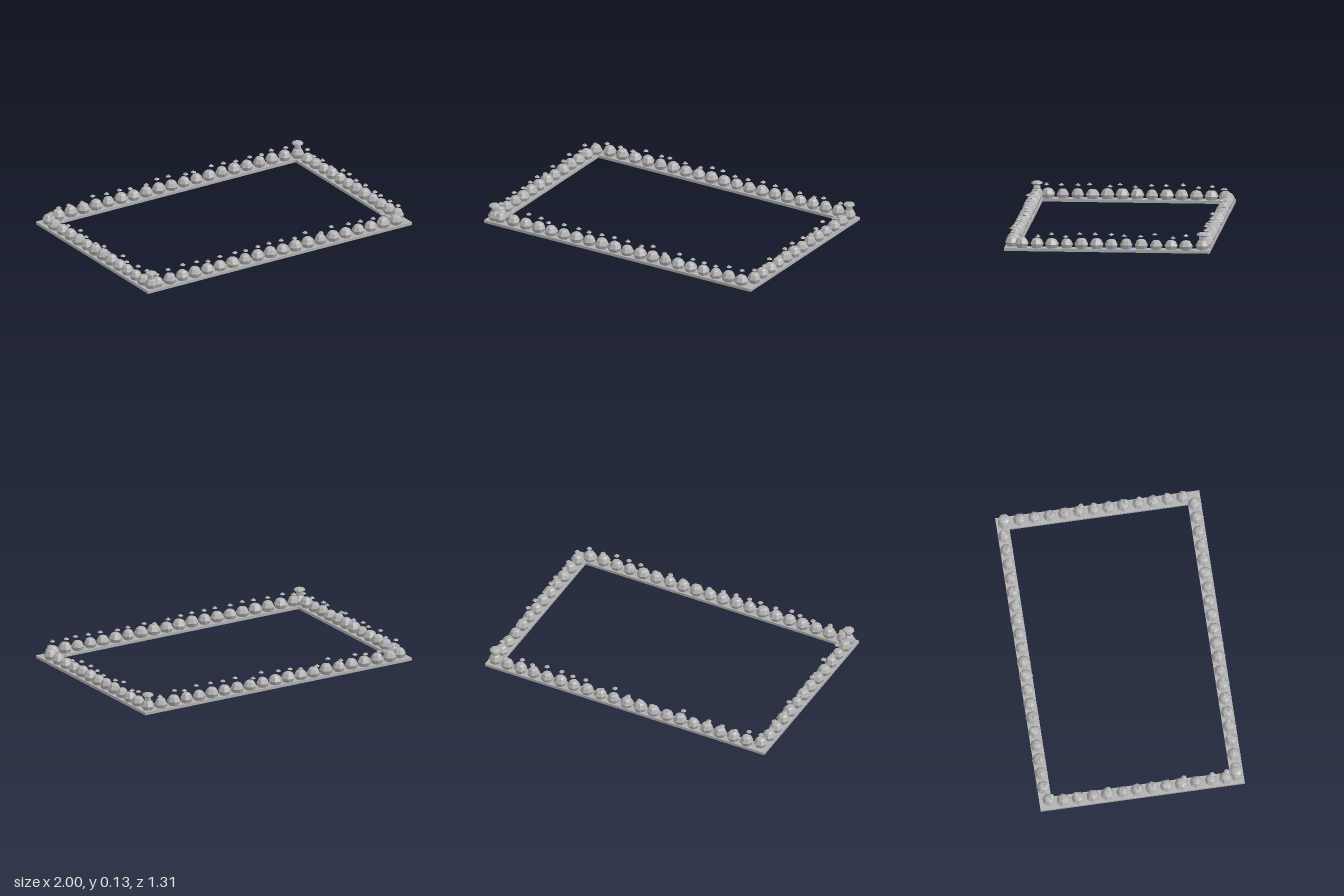
import * as THREE from 'three';

const stone = new THREE.MeshStandardMaterial({ color: 0xb0b0b0, flatShading: true });
stone.name = 'grey';

// Small repeatable random source
let seed = 7;
const rand = (a, b) => {
  seed = (seed * 16807) % 2147483647;
  return a + (b - a) * (seed / 2147483647);
};

const lathe = (pts, sides) =>
  new THREE.LatheGeometry(pts.map(([r, y]) => new THREE.Vector2(r, y)), sides);

const bushGeo = lathe([[0, 0], [0.033, 0], [0.0435, 0.026], [0.03, 0.053], [0.02, 0.061], [0, 0.063]], 7);
const flowerGeo = lathe([[0, -0.004], [0.007, -0.004], [0.018, 0.001], [0.015, 0.005], [0.007, 0.007], [0.006, 0.012], [0, 0.014]], 6);
const stemGeo = lathe([[0, 0], [0.024, 0], [0.021, 0.085], [0, 0.085]], 7);
const capGeo = lathe([[0, 0], [0.022, 0], [0.038, 0.009], [0.034, 0.018], [0.018, 0.025], [0, 0.026]], 8);

function add(parent, geo, name, x, y, z) {
  const m = new THREE.Mesh(geo, stone);
  m.name = name;
  m.position.set(x, y, z);
  m.rotation.y = rand(0, Math.PI * 2);
  parent.add(m);
  return m;
}

// One bush with a small blossom hovering above it
function addBush(parent, x, z) {
  const s = rand(0.93, 1.07);
  add(parent, bushGeo, 'bush', x, 0.018, z).scale.set(s, rand(0.92, 1.04), s);
  const y = rand(0, 1) < 0.25 ? rand(0.083, 0.093) : rand(0.097, 0.107);
  add(parent, flowerGeo, 'blossom', x + rand(-0.02, 0.02), y, z + rand(-0.02, 0.02));
}

// Evenly spaced bushes between two points
function addRow(root, name, count, x0, z0, x1, z1) {
  const row = new THREE.Group();
  row.name = name;
  for (let i = 0; i < count; i++) {
    const t = i / (count - 1);
    addBush(row, x0 + (x1 - x0) * t, z0 + (z1 - z0) * t);
  }
  root.add(row);
}

export function createModel() {
  const root = new THREE.Group();
  root.name = 'hedgeBorder';

  // Flat rectangular kerb with an open middle
  const rect = (P, x0, x1, y0, y1) =>
    new P([[x0, y0], [x1, y0], [x1, y1], [x0, y1]].map(([x, y]) => new THREE.Vector2(x, y)));
  const shape = rect(THREE.Shape, -0.997, 0.99, -0.65, 0.652);
  shape.holes.push(rect(THREE.Path, -0.912, 0.906, -0.566, 0.573));
  const kerbGeo = new THREE.ExtrudeGeometry(shape, { depth: 0.018, bevelEnabled: false });
  kerbGeo.rotateX(-Math.PI / 2);
  const kerb = new THREE.Mesh(kerbGeo, stone);
  kerb.name = 'kerb';
  root.add(kerb);

  // Hedge rows
  addRow(root, 'frontHedge', 20, -0.9, 0.607, 0.895, 0.607);
  addRow(root, 'backHedge', 19, -0.853, -0.615, 0.85, -0.615);
  addRow(root, 'rightHedge', 12, -0.955, -0.5, -0.955, 0.535);
  addRow(root, 'leftHedge', 12, 0.949, -0.5, 0.949, 0.54);
  addBush(root, -0.94, -0.59);

  // Capped posts at two opposite corners
  for (const [x, z] of [[-0.945, 0.605], [0.94, -0.602]]) {
    const post = new THREE.Group();
    post.name = 'cornerPost';
    add(post, bushGeo, 'postBush', x, 0.018, z);
    add(post, stemGeo, 'postStem', x, 0.018, z);
    add(post, capGeo, 'postCap', x, 0.102, z);
    root.add(post);
  }
  return root;
}
